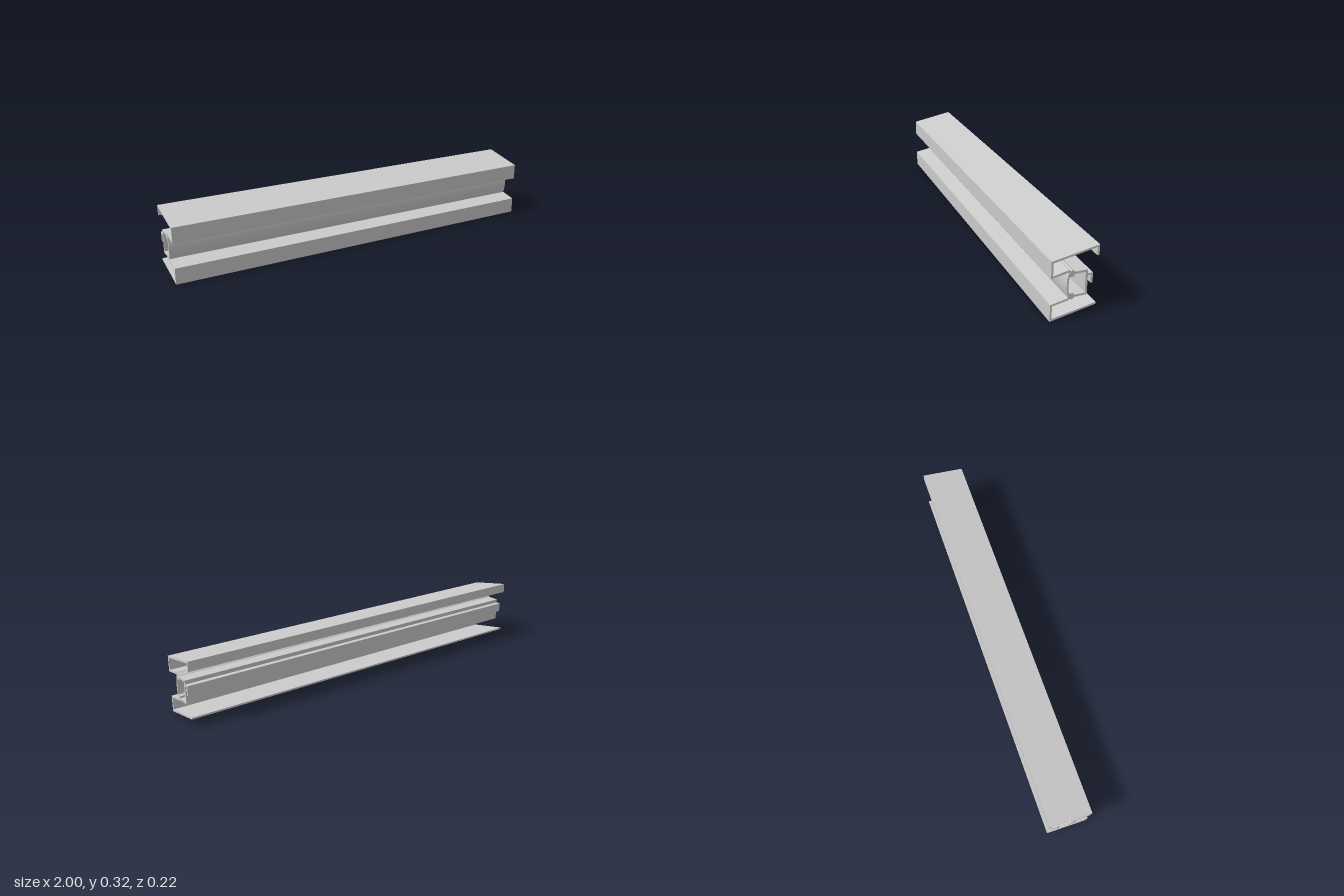
import * as THREE from 'three';

const LENGTH = 2;
const MID = 0.157; // height of the web's mirror line
const material = new THREE.MeshStandardMaterial({ color: 0xcccccc });

// Extrude a cross-section along x; section coordinates are (-z, y)
function extrudeAlongX(name, shape) {
  const geometry = new THREE.ExtrudeGeometry(shape, { depth: LENGTH, bevelEnabled: false, curveSegments: 16 });
  geometry.translate(0, 0, -LENGTH / 2);
  geometry.rotateY(Math.PI / 2);
  const mesh = new THREE.Mesh(geometry, material);
  mesh.name = name;
  return mesh;
}

const polygon = (points) => new THREE.Shape(points.map(([u, v]) => new THREE.Vector2(u, v)));

export function createModel() {
  const group = new THREE.Group();
  group.name = 'extrudedRail';
  const add = (name, shape) => group.add(extrudeAlongX(name, shape));

  // Upper flange: sloping roof with a rear drip lip, front face and return leg
  add('upperFlange', polygon([
    [-0.109, 0.204], [-0.026, 0.219], [-0.019, 0.222], [-0.028, 0.23],
    [-0.1, 0.215], [-0.1, 0.275], [0.099, 0.313], [0.099, 0.275],
    [0.109, 0.275], [0.109, 0.324], [-0.109, 0.283],
  ]));

  // Lower flange: sloping floor, front face and return leg
  add('lowerFlange', polygon([
    [-0.109, 0], [0.105, 0.042], [0.105, 0.051], [-0.1, 0.0125],
    [-0.1, 0.073], [-0.028, 0.087], [-0.019, 0.094], [-0.026, 0.097], [-0.109, 0.081],
  ]));

  // Bowed front web
  const web = new THREE.Shape();
  web.moveTo(-0.026, 0.219);
  web.quadraticCurveTo(-0.046, MID, -0.026, 0.095);
  web.lineTo(-0.018, 0.095);
  web.quadraticCurveTo(-0.037, MID, -0.018, 0.219);
  add('curvedWeb', web);

  // Clip joints: rounded bead with a square inner block, mirrored about the web
  for (const [name, s] of [['upperJoint', 1], ['lowerJoint', -1]]) {
    const joint = new THREE.Shape();
    joint.moveTo(-0.021, MID + s * 0.058);
    joint.lineTo(-0.024, MID + s * 0.039);
    joint.lineTo(-0.003, MID + s * 0.039);
    joint.lineTo(-0.003, MID + s * 0.05);
    joint.lineTo(0.002, MID + s * 0.059);
    joint.quadraticCurveTo(-0.01, MID + s * 0.074, -0.021, MID + s * 0.064);
    add(name, joint);
  }

  // Rear box channel
  add('rearChannel', polygon([
    [-0.003, 0.098], [0.06, 0.098], [0.06, 0.217], [-0.003, 0.217],
    [-0.003, 0.207], [0.05, 0.207], [0.05, 0.108], [-0.003, 0.108],
  ]));

  // Hanging hook behind the channel
  add('rearHook', polygon([
    [0.06, 0.189], [0.074, 0.189], [0.074, 0.15], [0.084, 0.15], [0.084, 0.198], [0.06, 0.198],
  ]));

  return group;
}
